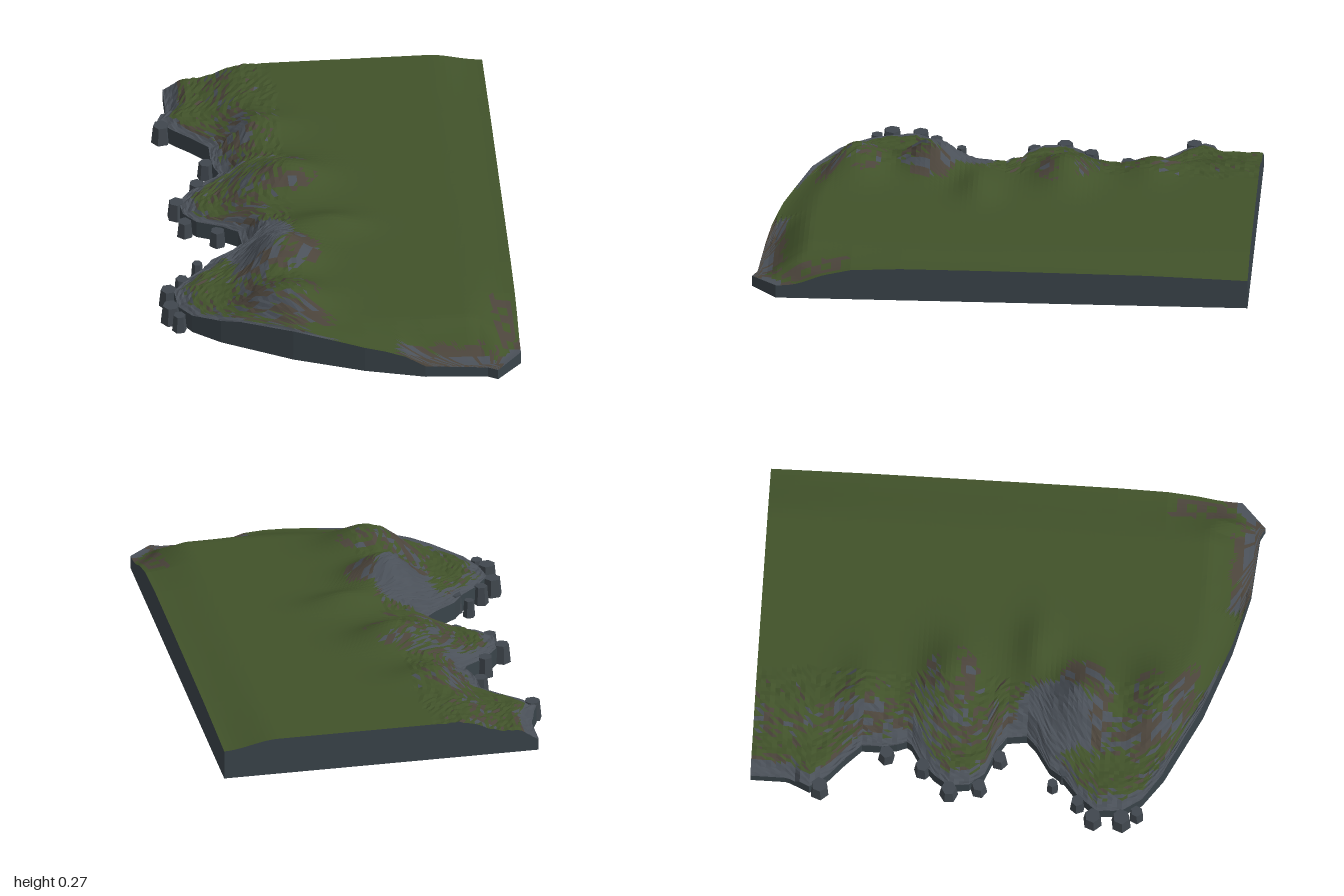
import * as THREE from 'three';

const COLORS = { grass: 0x41522a, slate: 0x4a5058, earth: 0x4b443b, cliff: 0x3a444a, rock: 0x40474e };

// Coast outline: [z, x] from the back edge round to the front tip
const COAST = [
  [-1, -0.58], [-0.85, -0.58], [-0.76, -0.62], [-0.69, -0.57], [-0.63, -0.5], [-0.56, -0.43], [-0.48, -0.43],
  [-0.42, -0.42], [-0.37, -0.4], [-0.32, -0.48], [-0.26, -0.54], [-0.2, -0.58], [-0.12, -0.57],
  [-0.06, -0.52], [-0.02, -0.42], [0.02, -0.36], [0.1, -0.35], [0.14, -0.39], [0.2, -0.48], [0.26, -0.52],
  [0.32, -0.59], [0.4, -0.65], [0.5, -0.64], [0.58, -0.59], [0.66, -0.48], [0.8, -0.2],
  [0.9, 0.08], [0.96, 0.32], [0.98, 0.57], [1, 0.61],
];
// Front shoreline as [x, z] and the height of its edge as [x, y]
const FRONT = [[-0.64, 0.5], [-0.59, 0.58], [-0.48, 0.66], [-0.2, 0.8], [0.08, 0.9], [0.32, 0.96], [0.55, 0.965], [0.61, 1], [0.71, 0.9]];
const FRONT_Y = [[-0.64, 0.07], [-0.4, 0.125], [-0.2, 0.14], [0, 0.123], [0.22, 0.1], [0.32, 0.052], [0.61, 0.045], [0.71, 0.055]];
// Height of the straight right edge as [z, y]
const RIGHT_Y = [[-1, 0.122], [-0.6, 0.135], [0, 0.14], [0.4, 0.14], [0.6, 0.13], [0.9, 0.06], [1, 0.045]];
// Peaks: x, z, height, west spread, east spread, z spread
const PEAKS = [
  [-0.2, 0.62, 0.08, 0.13, 0.12, 0.09], [-0.21, 0.31, 0.11, 0.1, 0.1, 0.09],
  [-0.01, 0.12, 0.045, 0.13, 0.11, 0.06], [-0.15, -0.22, 0.075, 0.1, 0.12, 0.08],
  [-0.25, -0.57, 0.042, 0.07, 0.12, 0.07],
];
// Shore boulders: x, z, radius
const BOULDERS = [
  [-0.61, -0.72, 0.04], [-0.45, -0.46, 0.035], [-0.5, -0.31, 0.036], [-0.59, -0.2, 0.038],
  [-0.565, -0.08, 0.035], [-0.44, -0.005, 0.035], [-0.49, 0.265, 0.035], [-0.54, 0.215, 0.025],
  [-0.67, 0.385, 0.04], [-0.67, 0.5, 0.042], [-0.61, 0.32, 0.032], [-0.64, 0.56, 0.03],
];

const ease = (a, b, v) => THREE.MathUtils.smoothstep(v, a, b);
const mix = THREE.MathUtils.lerp;

// Piecewise linear lookup in a list of [position, value]
function lookup(list, t) {
  if (t <= list[0][0]) return list[0][1];
  for (let i = 1; i < list.length; i++) {
    const [a, va] = list[i - 1], [b, vb] = list[i];
    if (t <= b) return mix(va, vb, (t - a) / (b - a));
  }
  return list[list.length - 1][1];
}

// Repeatable noise, 0 to 1
function noise(a, b) {
  const s = Math.sin(a * 127.1 + b * 311.7) * 43758.5453;
  return s - Math.floor(s);
}

const rightEdge = (z) => (z > 0.9 ? mix(0.71, 0.61, (z - 0.9) / 0.1) : 0.71);

// Ground height: plateau, western ledges, peaks and lowered edges
function height(x, z) {
  const cliffLine = -0.33 + 0.03 * Math.sin(z * 9);
  let y = mix(0.1, 0.157, ease(cliffLine - 0.1, cliffLine + 0.09, x));
  for (const [px, pz, h, west, east, sz] of PEAKS) {
    const dx = (x - px) / (x < px ? west : east), dz = (z - pz) / sz;
    y += h * Math.exp(-0.5 * (dx * dx + dz * dz) * 1.15);
  }
  const coast = ease(0, 0.09, x - lookup(COAST, z));
  if (z < 0.5) y = mix(z < -0.8 ? 0.05 : 0.075, y, coast);
  y = mix(lookup(RIGHT_Y, z), y, ease(0, 0.22, rightEdge(z) - x));
  if (z > 0.45) {
    const spread = mix(0.14, 0.2, ease(-0.2, 0.5, x));
    y = mix(lookup(FRONT_Y, x), y, ease(0, spread, lookup(FRONT, x) - z));
  }
  return y;
}

// Surface type from slope, shore distance and patchiness
function surfaceType(a, b, c, i, j) {
  const n = b.clone().sub(a).cross(c.clone().sub(a)).normalize();
  const x = (a.x + b.x + c.x) / 3, z = (a.z + b.z + c.z) / 3;
  const patch = noise(Math.floor(i / 2), Math.floor(j / 2));
  const shore = x - lookup(COAST, z);
  const slab = Math.hypot((x + 0.29) / 0.14, (z - 0.2) / 0.15) < 1;
  if (slab) return 'slate';
  if (z < 0.85 && shore < 0.03 + 0.03 * patch) return 'slate';
  if (x > 0.22 && lookup(FRONT, x) - z < 0.05 + 0.05 * patch) return patch > 0.5 ? 'earth' : 'slate';
  if (x > 0.61 && x < 0.69 && z > 0.6 && patch > 0.4) return 'earth';
  if (x < 0.05 && n.y < 0.86 + 0.06 * patch) return patch > 0.45 ? 'earth' : 'slate';
  return 'grass';
}

function material(name, twoSided) {
  return new THREE.MeshStandardMaterial({
    color: COLORS[name], flatShading: true, side: twoSided ? THREE.DoubleSide : THREE.FrontSide,
  });
}

export function createModel() {
  const group = new THREE.Group();
  group.name = 'coastalTerrain';
  const faces = { grass: [], slate: [], earth: [], cliff: [] };
  const add = (type, ...points) => points.forEach((p) => faces[type].push(p.x, p.y, p.z));

  // Grid of surface points stretched between the coast and the right edge
  const ROWS = 100, COLS = 72, grid = [];
  for (let j = 0; j <= ROWS; j++) {
    const z = -1 + (2 * j) / ROWS, left = lookup(COAST, z), right = rightEdge(z);
    grid.push([]);
    for (let i = 0; i <= COLS; i++) {
      const x = mix(left, right, Math.pow(i / COLS, 1.25));
      const rough = x < -0.15 && i > 0 ? (noise(i, j) - 0.5) * 0.008 : 0;
      grid[j].push(new THREE.Vector3(x, height(x, z) + rough, z));
    }
  }

  // Ground surface
  for (let j = 0; j < ROWS; j++) {
    for (let i = 0; i < COLS; i++) {
      const a = grid[j][i], b = grid[j + 1][i], c = grid[j + 1][i + 1], d = grid[j][i + 1];
      add(surfaceType(a, b, d, i, j), a, b, d);
      if (j < ROWS - 1) add(surfaceType(b, c, d, i, j), b, c, d);
    }
  }

  // Cliff walls down to the base
  const floor = (p) => new THREE.Vector3(p.x, 0, p.z);
  const wall = (p, q) => add('cliff', p, floor(p), floor(q), p, floor(q), q);
  for (let j = 0; j < ROWS; j++) {
    const a = grid[j][0], b = grid[j + 1][0], c = grid[j + 1][COLS], d = grid[j][COLS];
    wall(a, b);
    wall(c, d);
    // Flat underside
    add('cliff', floor(a), floor(d), floor(c), floor(a), floor(c), floor(b));
  }
  for (let i = 0; i < COLS; i++) wall(grid[0][i + 1], grid[0][i]);

  const names = { grass: 'grassGround', slate: 'slateGround', earth: 'bareEarth', cliff: 'cliffWalls' };
  for (const type in faces) {
    const geometry = new THREE.BufferGeometry();
    geometry.setAttribute('position', new THREE.Float32BufferAttribute(faces[type], 3));
    geometry.computeVertexNormals();
    const mesh = new THREE.Mesh(geometry, material(type, type === 'cliff'));
    mesh.name = names[type];
    group.add(mesh);
  }

  // Boulders along the shore
  const boulders = new THREE.Group();
  boulders.name = 'shoreBoulders';
  BOULDERS.forEach(([x, z, r], k) => {
    const h = 0.065 + 0.025 * noise(k, 3);
    const geometry = new THREE.CylinderGeometry(r * 0.8, r, h, 6);
    geometry.translate(0, h / 2, 0);
    const mesh = new THREE.Mesh(geometry, material('rock'));
    mesh.name = 'boulder';
    mesh.position.set(x, 0, z);
    mesh.rotation.y = noise(k, 7) * 3;
    boulders.add(mesh);
  });
  group.add(boulders);
  return group;
}
